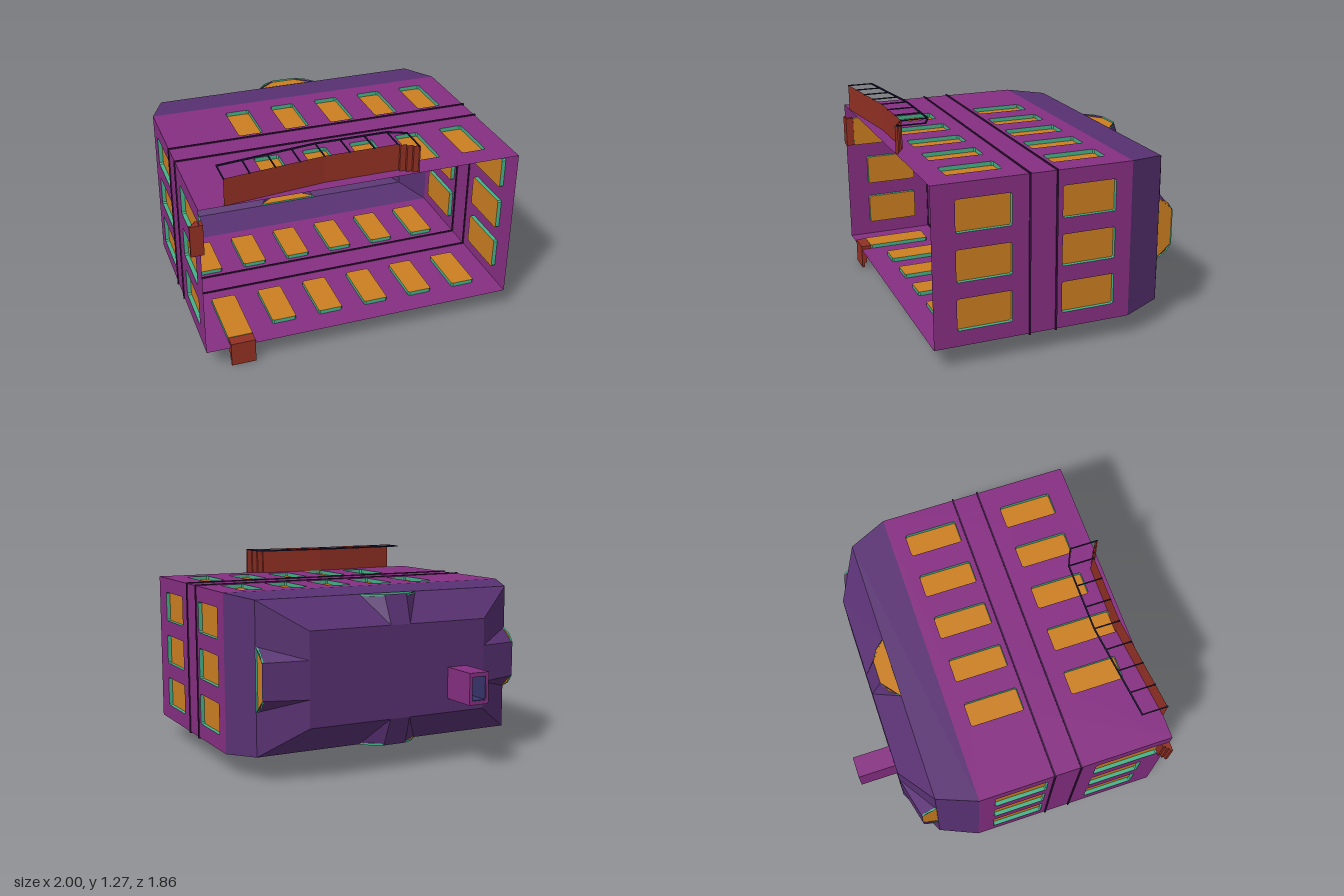
import * as THREE from 'three';

const mat = (name, color, side = THREE.FrontSide) => {
  const m = new THREE.MeshStandardMaterial({ color, side });
  m.name = name;
  return m;
};

export function createModel() {
  const D = THREE.DoubleSide;
  const wallMat = mat('purple wall', 0x862f82, D);
  const roofMat = mat('dark violet roof', 0x583172, D);
  const glassMat = mat('amber window', 0xcc7f21, D);
  const frameMat = mat('green frame', 0x45b288, D);
  const stepMat = mat('brick red steps', 0x923024, D);
  const railMat = mat('navy rail', 0x1e1838);
  const bandMat = mat('dark plum band', 0x3a1440);
  const flueMat = mat('slate blue flue', 0x37336a, D);

  const add = (parent, name, geo, material, x = 0, y = 0, z = 0) => {
    const m = new THREE.Mesh(geo, material);
    m.name = name;
    m.position.set(x, y, z);
    parent.add(m);
    return m;
  };

  // flat faces from lists of corners (triangle or quad each)
  const faces = (list) => {
    const pos = [];
    for (const f of list)
      for (let i = 1; i < f.length - 1; i++) pos.push(...f[0], ...f[i], ...f[i + 1]);
    const g = new THREE.BufferGeometry();
    g.setAttribute('position', new THREE.Float32BufferAttribute(pos, 3));
    g.computeVertexNormals();
    return g;
  };

  // rectangle with small cut corners
  const windowPoints = (u, y0, y1, w, c) => {
    const a = u - w / 2, b = u + w / 2;
    return [[a + c, y0], [b - c, y0], [b, y0 + c], [b, y1 - c],
      [b - c, y1], [a + c, y1], [a, y1 - c], [a, y0 + c]].map((p) => new THREE.Vector2(...p));
  };

  // recessed pane with a thin reveal running inward from the wall plane
  const recess = (parent, name, pts, dist, depth) => {
    const loop = [...pts, pts[0]];
    const sides = [];
    for (let i = 0; i < pts.length; i++) {
      const p = loop[i], q = loop[i + 1];
      sides.push([[p.x, p.y, 0], [q.x, q.y, 0], [q.x, q.y, -depth], [p.x, p.y, -depth]]);
    }
    add(parent, name + 'Frame', faces(sides), frameMat, 0, 0, dist);
    add(parent, name + 'Pane', new THREE.ShapeGeometry(new THREE.Shape(pts)), glassMat, 0, 0, dist - depth);
  };

  // solid flight of steps running outward (+z) from the wall
  const steps = (parent, name, u, width, dist, run, rise, count) => {
    const s = new THREE.Shape();
    s.moveTo(-0.022, 0);
    s.lineTo(run, 0);
    for (let i = 0; i < count; i++) {
      const x = run * (1 - i / count), y = (rise * (i + 1)) / count;
      s.lineTo(x, y);
      s.lineTo(i === count - 1 ? -0.022 : run * (1 - (i + 1) / count), y);
    }
    const g = new THREE.ExtrudeGeometry(s, { depth: width, bevelEnabled: false });
    add(parent, name, g, stepMat, u + width / 2, 0, dist).rotation.y = -Math.PI / 2;
  };

  const model = new THREE.Group();
  model.name = 'mansardHouse';
  // the house lies on its back wall, roof pointing to -z
  const house = new THREE.Group();
  house.name = 'house';
  house.rotation.x = -Math.PI / 2;
  house.position.z = 0.925;
  model.add(house);

  const body = new THREE.Group();
  body.name = 'body';
  body.position.set(0.0225, 0, 0.617);
  house.add(body);

  // half sizes and heights: eaves, break of the roof, flat top
  const X = [0.9675, 0.868, 0.6], Z = [0.484, 0.46, 0.285], H = [1.215, 1.455, 1.615];

  const buildSide = (name, ry, w, d, cols, winW, door, doorY, dorm) => {
    const g = new THREE.Group();
    g.name = name;
    g.rotation.y = ry;
    body.add(g);
    // wall with window openings
    const wall = new THREE.Shape([[-w[0], 0], [w[0], 0], [w[0], H[0]], [-w[0], H[0]]]
      .map((p) => new THREE.Vector2(...p)));
    cols.forEach((u, i) => {
      for (const row of [0, 1]) {
        const isDoor = row === 0 && i === door;
        const pts = windowPoints(u, isDoor ? doorY : 0.14 + row * 0.64, 0.472 + row * 0.64, winW, 0.009);
        wall.holes.push(new THREE.Path(pts));
        recess(g, isDoor ? 'door' : 'window', pts, d[0], 0.025);
      }
    });
    add(g, 'wall', new THREE.ShapeGeometry(wall), wallMat, 0, 0, d[0]);
    // string courses
    for (const y of [0.578, 0.743])
      add(g, 'band', new THREE.BoxGeometry(2 * w[0] + 0.014, 0.01, 0.014), bandMat, 0, y, d[0]);
    // mansard slopes, left open behind the dormer
    const [b, t, k] = dorm, hy = 1.55;
    const slopes = [[[-w[0], H[0], d[0]], [w[0], H[0], d[0]], [w[1], H[1], d[1]], [-w[1], H[1], d[1]]]];
    slopes.push([[-w[1], H[1], d[1]], [-b, H[1], d[1]], [-k, H[2], d[2]], [-w[2], H[2], d[2]]]);
    slopes.push([[b, H[1], d[1]], [w[1], H[1], d[1]], [w[2], H[2], d[2]], [k, H[2], d[2]]]);
    add(g, 'roofSlope', faces(slopes), roofMat);
    // dormer hood and window
    add(g, 'dormerHood', faces([
      [[-t, hy, d[1]], [t, hy, d[1]], [k, H[2], d[2]], [-k, H[2], d[2]]],
      [[b, H[1], d[1]], [t, hy, d[1]], [k, H[2], d[2]]].reverse(),
      [[-b, H[1], d[1]], [-t, hy, d[1]], [-k, H[2], d[2]]],
    ]), roofMat);
    const arch = [[-b, H[1]], [b, H[1]], [(b + t) / 2 + 0.008, 1.515], [t, hy], [-t, hy], [-(b + t) / 2 - 0.008, 1.515]];
    recess(g, 'dormer', arch.map((p) => new THREE.Vector2(...p)), d[1] + 0.001, 0.012);
    return g;
  };

  const six = [0, 1, 2, 3, 4, 5].map((i) => (i - 2.5) * 0.298);
  const three = [-0.292, 0, 0.292];
  const longDormer = [0.195, 0.075, 0.066], shortDormer = [0.193, 0.11, 0.115];
  buildSide('frontSide', 0, X, Z, six.slice(1), 0.15, 1, 0.07, longDormer);
  const back = buildSide('backSide', Math.PI, X, Z, six, 0.15, 5, 0.066, longDormer);
  buildSide('leftSide', Math.PI / 2, Z, X, three, 0.193, -1, 0, shortDormer);
  const right = buildSide('rightSide', -Math.PI / 2, Z, X, three, 0.193, 2, 0.05, shortDormer);
  steps(back, 'backSteps', six[5], 0.15, Z[0], 0.133, 0.066, 4);
  steps(right, 'sideSteps', three[2], 0.193, X[0], 0.055, 0.05, 3);

  // flat roof top
  add(body, 'roofTop', new THREE.PlaneGeometry(2 * X[2], 2 * Z[2]), roofMat, 0, H[2], 0).rotation.x = -Math.PI / 2;

  // chimney with open flue
  const rect = (C, w, h) => new C([[-w, -h], [w, -h], [w, h], [-w, h]].map((p) => new THREE.Vector2(...p)));
  const stack = rect(THREE.Shape, 0.068, 0.098);
  stack.holes.push(rect(THREE.Path, 0.049, 0.075));
  const chimney = new THREE.Group();
  chimney.name = 'chimney';
  chimney.position.set(-0.383, 1.608, 0.518);
  chimney.rotation.x = -Math.PI / 2;
  house.add(chimney);
  add(chimney, 'stack', new THREE.ExtrudeGeometry(stack, { depth: 0.247, bevelEnabled: false }), wallMat);
  add(chimney, 'flueFloor', new THREE.PlaneGeometry(0.098, 0.15), flueMat, 0, 0, 0.002);
  for (const s of [-1, 1]) {
    add(chimney, 'flueLining', new THREE.BoxGeometry(0.004, 0.15, 0.24), flueMat, s * 0.047, 0, 0.124);
    add(chimney, 'flueLining', new THREE.BoxGeometry(0.098, 0.004, 0.24), flueMat, 0, s * 0.073, 0.124);
  }

  // entrance ramp, landing and steps as one folded sheet
  const path = [[-0.8, 0.002], [-0.2, 0.07], [0.25, 0.07], [0.25, 0.053], [0.285, 0.053],
    [0.285, 0.035], [0.317, 0.035], [0.317, 0.018], [0.35, 0.018], [0.35, 0]];
  const strip = (p, q, z0, z1) => [[p[0], p[1], z1], [q[0], q[1], z1], [q[0], q[1], z0], [p[0], p[1], z0]];
  const sheet = path.slice(1).map((q, i) => strip(path[i], q, 1.1, 1.27));
  sheet.push(strip([-0.2, 0.07], [-0.05, 0.07], 1.076, 1.1));
  add(house, 'entranceRamp', faces(sheet), stepMat);

  // railing along the outer edge
  const bar = (name, a, b, t) => {
    const dx = b[0] - a[0], dy = b[1] - a[1];
    const m = add(house, name, new THREE.BoxGeometry(Math.hypot(dx, dy) + t * 0.6, t, t), railMat,
      (a[0] + b[0]) / 2, (a[1] + b[1]) / 2, 1.267);
    m.rotation.z = Math.atan2(dy, dx);
  };
  const top = [[-0.796, 0.16], [-0.2, 0.234], [0.24, 0.234], [0.347, 0.185]];
  top.slice(1).forEach((p, i) => bar('handrail', top[i], p, 0.009));
  for (const x of [-0.796, -0.646, -0.496, -0.348, -0.2, -0.05, 0.098, 0.24]) {
    const f = Math.min(1, (x + 0.8) / 0.6);
    bar('railPost', [x, 0.07 * f], [x, 0.16 + 0.074 * f], 0.007);
  }
  bar('railPost', [0.347, 0.01], [0.347, 0.185], 0.007);

  return model;
}
